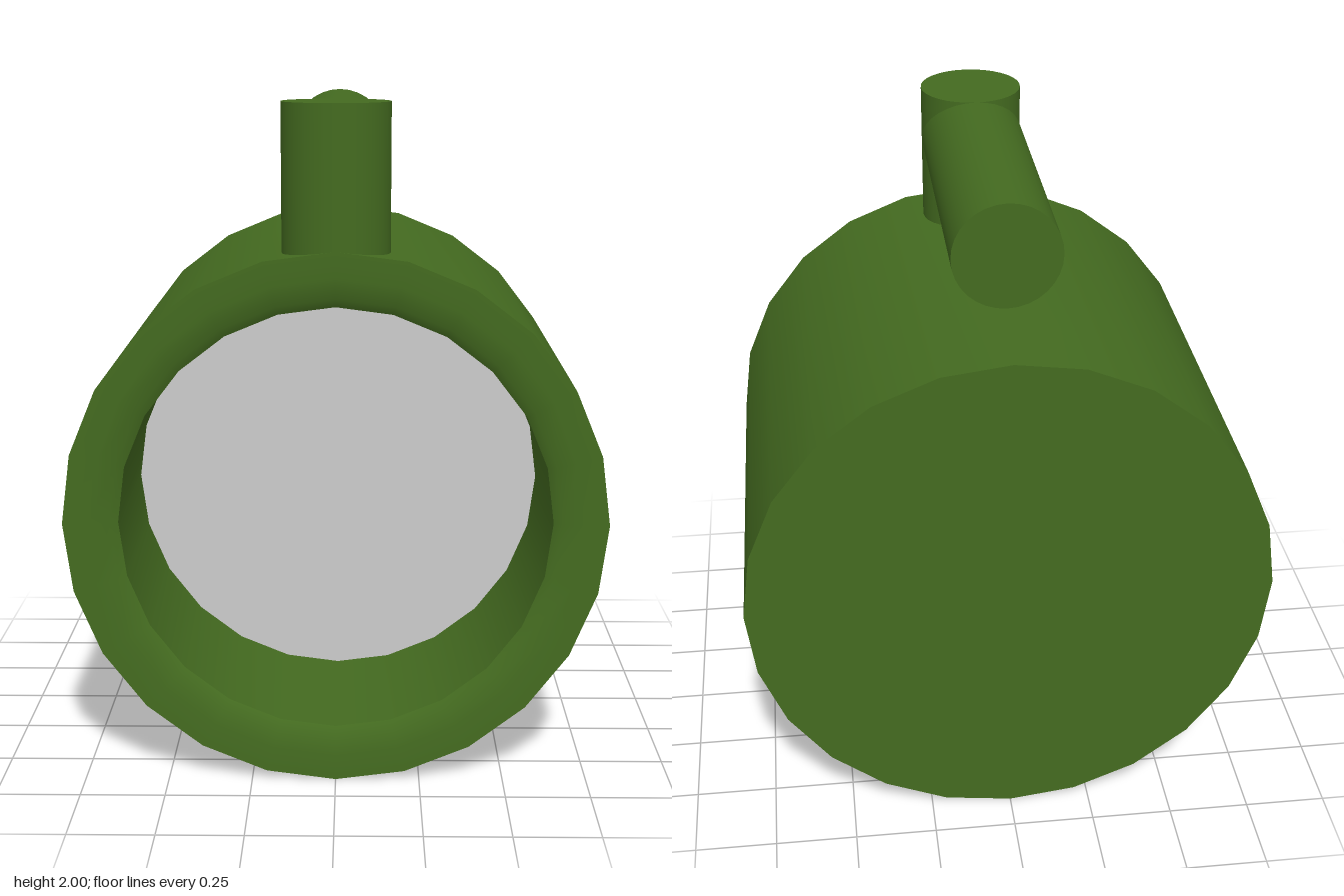
import * as THREE from 'three';
import { toCreasedNormals } from 'three/addons/utils/BufferGeometryUtils.js';

const R = 0.795;        // outer radius of the cup
const INNER = 0.635;    // cavity radius
const HALF = 0.635;     // half the cup's length along z
const ROD = 0.158;      // handle radius
const POST_Z = 0.477;
const BAR_Y = 2 - ROD;

export function createModel() {
  const model = new THREE.Group();
  const green = new THREE.MeshStandardMaterial({ color: 0x446b20 });
  const grey = new THREE.MeshStandardMaterial({ color: 0xcccccc });

  const add = (name, geometry, material, x, y, z) => {
    const mesh = new THREE.Mesh(geometry, material);
    mesh.name = name;
    mesh.position.set(x, y, z);
    model.add(mesh);
  };

  // Cup lying on its side: closed at the back, thick wall, lip eased towards the cavity
  const profile = [
    [0, -HALF], [R, -HALF], [R, HALF], [0.72, HALF], [0.66, HALF - 0.008],
    [INNER, HALF - 0.025], [INNER, -0.48], [0, -0.48],
  ].map(([r, h]) => new THREE.Vector2(r, h));
  const cup = new THREE.LatheGeometry(profile, 24).rotateX(Math.PI / 2);
  add('cup', toCreasedNormals(cup, 0.6), green, 0, R, 0);

  // Disc filling the cavity part way in
  add('fillDisc', new THREE.CircleGeometry(INNER, 24), grey, 0, R, 0.08);

  // Handle: upright post at the rim, with a bar running back from its top
  const postBase = 1.54;
  add('handlePost', new THREE.CylinderGeometry(ROD, ROD, 2 - postBase, 32),
    green, 0, (2 + postBase) / 2, POST_Z);
  const bar = new THREE.CylinderGeometry(ROD, ROD, 2 * POST_Z, 32).rotateX(Math.PI / 2);
  add('handleBar', bar, green, 0, BAR_Y, 0);

  return model;
}
